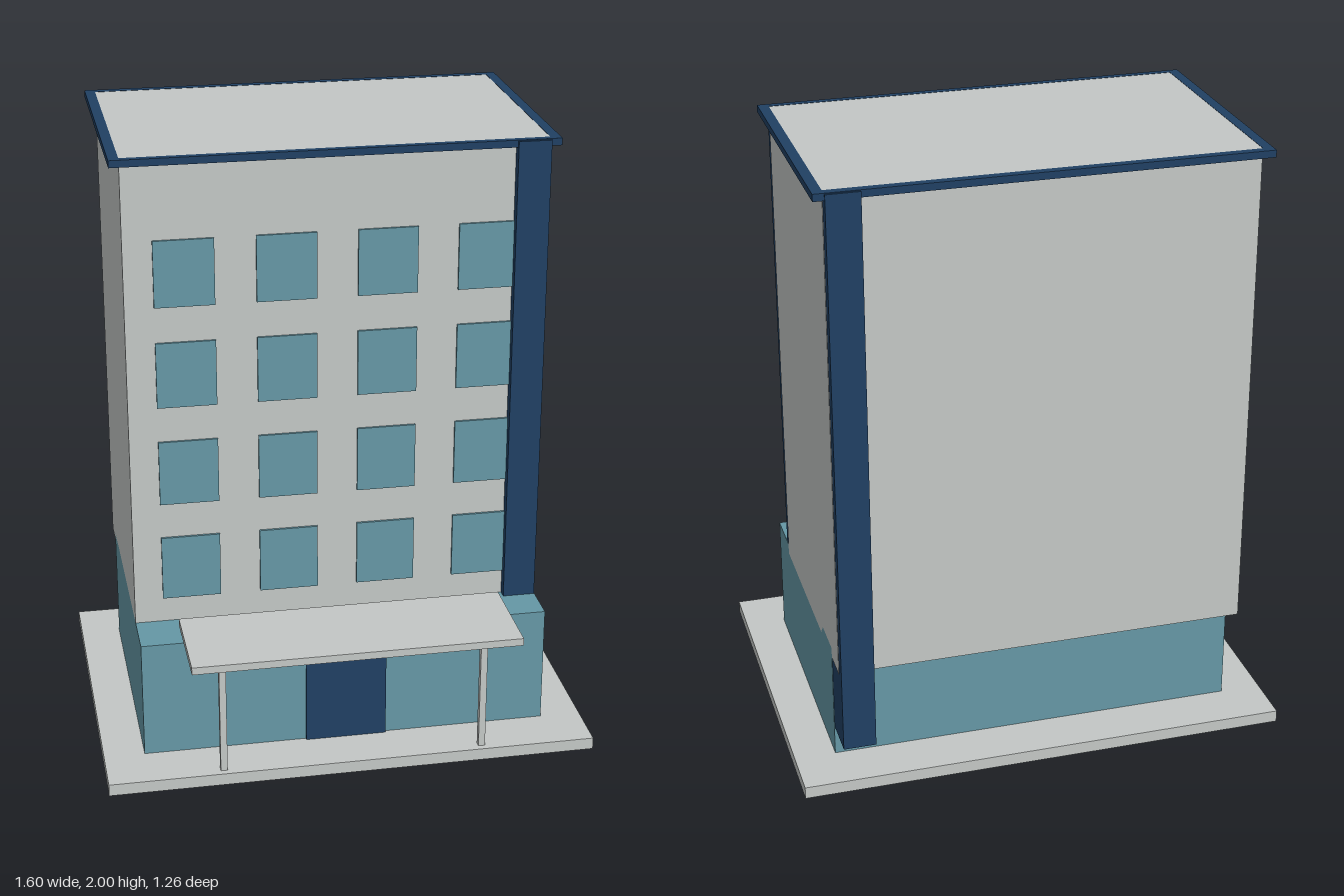
import * as THREE from 'three';

export function createModel() {
  const model = new THREE.Group();
  model.name = 'officeBuilding';

  const paint = (name, color) => {
    const m = new THREE.MeshStandardMaterial({ color });
    m.name = name;
    return m;
  };
  const concrete = paint('paleConcrete', 0xc3c7c5);
  const teal = paint('tealGlass', 0x6597a5);
  const navy = paint('navyTrim', 0x204063);

  // Box given by its lower and upper limits on each axis
  const box = (name, material, [x0, x1], [y0, y1], [z0, z1], parent = model) => {
    const mesh = new THREE.Mesh(new THREE.BoxGeometry(x1 - x0, y1 - y0, z1 - z0), material);
    mesh.position.set((x0 + x1) / 2, (y0 + y1) / 2, (z0 + z1) / 2);
    mesh.name = name;
    parent.add(mesh);
    return mesh;
  };

  // Plinth, ground floor and tower overhanging it at the back
  box('plinth', concrete, [-0.8, 0.8], [0, 0.04], [-0.63, 0.57]);
  box('groundFloor', teal, [-0.667, 0.667], [0.04, 0.435], [-0.465, 0.4]);
  box('tower', concrete, [-0.667, 0.667], [0.4, 1.999], [-0.567, 0.237]);

  // Vertical fin running through the tower, standing proud front and back
  box('cornerFin', navy, [0.56, 0.6655], [0.14, 1.997], [-0.6, 0.268]);

  // Roof rim: a flat frame around the tower top
  const rect = (path, x, z0, z1) =>
    path.moveTo(-x, z0).lineTo(x, z0).lineTo(x, z1).lineTo(-x, z1).closePath();
  const frame = rect(new THREE.Shape(), 0.7, -0.26, 0.594);
  frame.holes.push(rect(new THREE.Path(), 0.667, -0.237, 0.567));
  const rimGeometry = new THREE.ExtrudeGeometry(frame, { depth: 0.023, bevelEnabled: false });
  rimGeometry.rotateX(-Math.PI / 2);
  const rim = new THREE.Mesh(rimGeometry, navy);
  rim.position.y = 1.977;
  rim.name = 'roofRim';
  model.add(rim);

  // Window grid on the front
  const windows = new THREE.Group();
  windows.name = 'windows';
  model.add(windows);
  for (const y of [0.628, 0.962, 1.295, 1.628]) {
    for (const x of [-0.48, -0.16, 0.16, 0.48]) {
      box('window', teal, [x - 0.095, x + 0.095], [y - 0.108, y + 0.108], [0.236, 0.245], windows);
    }
  }

  // Entrance door and canopy on two posts
  box('door', navy, [-0.133, 0.133], [0.04, 0.4], [0.4, 0.409]);
  box('canopy', concrete, [-0.532, 0.532], [0.445, 0.47], [0.3, 0.63]);
  for (const side of [-1, 1]) {
    const x = side * 0.426;
    box('canopyPost', concrete, [x - 0.011, x + 0.011], [0.04, 0.445], [0.527, 0.549]);
  }

  return model;
}
